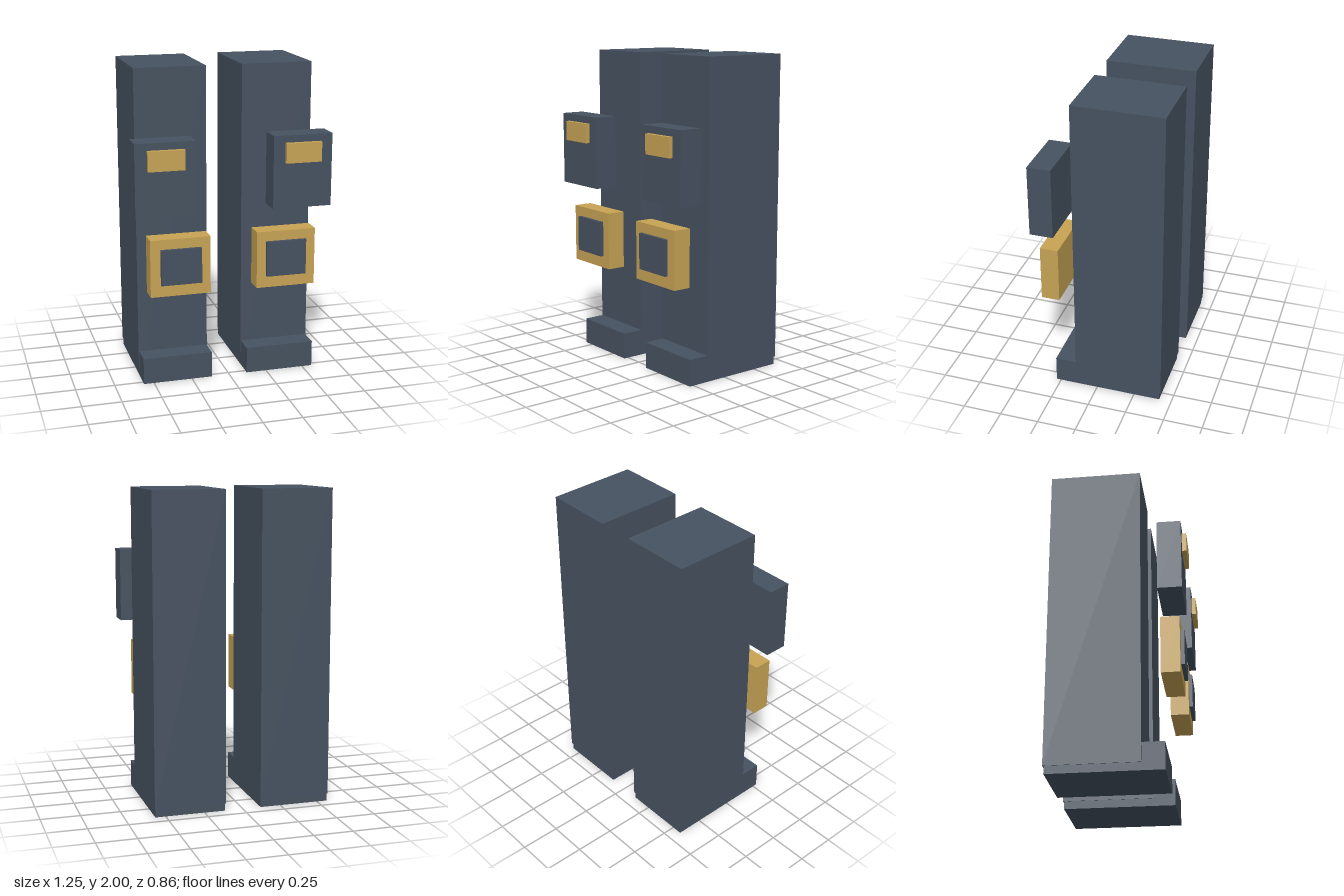
import * as THREE from 'three';

export function createModel() {
  const slate = new THREE.MeshStandardMaterial({ color: 0x465260 });
  slate.name = 'slate';
  const gold = new THREE.MeshStandardMaterial({ color: 0xc8a455 });
  gold.name = 'gold';

  // Each part: name, material, then [min, max] along x, y and z for the left leg
  const parts = [
    ['legColumn', slate, [0.115, 0.57], [0.05, 2], [-0.428, 0.143]],
    ['foot', slate, [0.118, 0.566], [0, 0.17], [-0.42, 0.28]],
    ['thighPlate', slate, [0.244, 0.623], [1.13, 1.59], [0.25, 0.4]],
    ['thighBadge', gold, [0.318, 0.547], [1.42, 1.545], [0.39, 0.428]],
    ['kneePad', gold, [0.15, 0.532], [0.613, 0.98], [0.257, 0.375]],
    ['kneeInset', slate, [0.21, 0.468], [0.69, 0.917], [0.365, 0.397]],
  ];

  const model = new THREE.Group();
  model.name = 'legs';

  // Mirror the leg across x = 0
  for (const [side, sign] of [['left', 1], ['right', -1]]) {
    const leg = new THREE.Group();
    leg.name = side + 'Leg';
    for (const [name, material, x, y, z] of parts) {
      const size = [x, y, z].map(([a, b]) => b - a);
      const [cx, cy, cz] = [x, y, z].map(([a, b]) => (a + b) / 2);
      const mesh = new THREE.Mesh(new THREE.BoxGeometry(...size), material);
      mesh.name = name;
      mesh.position.set(sign * cx, cy, cz);
      leg.add(mesh);
    }
    model.add(leg);
  }
  return model;
}
